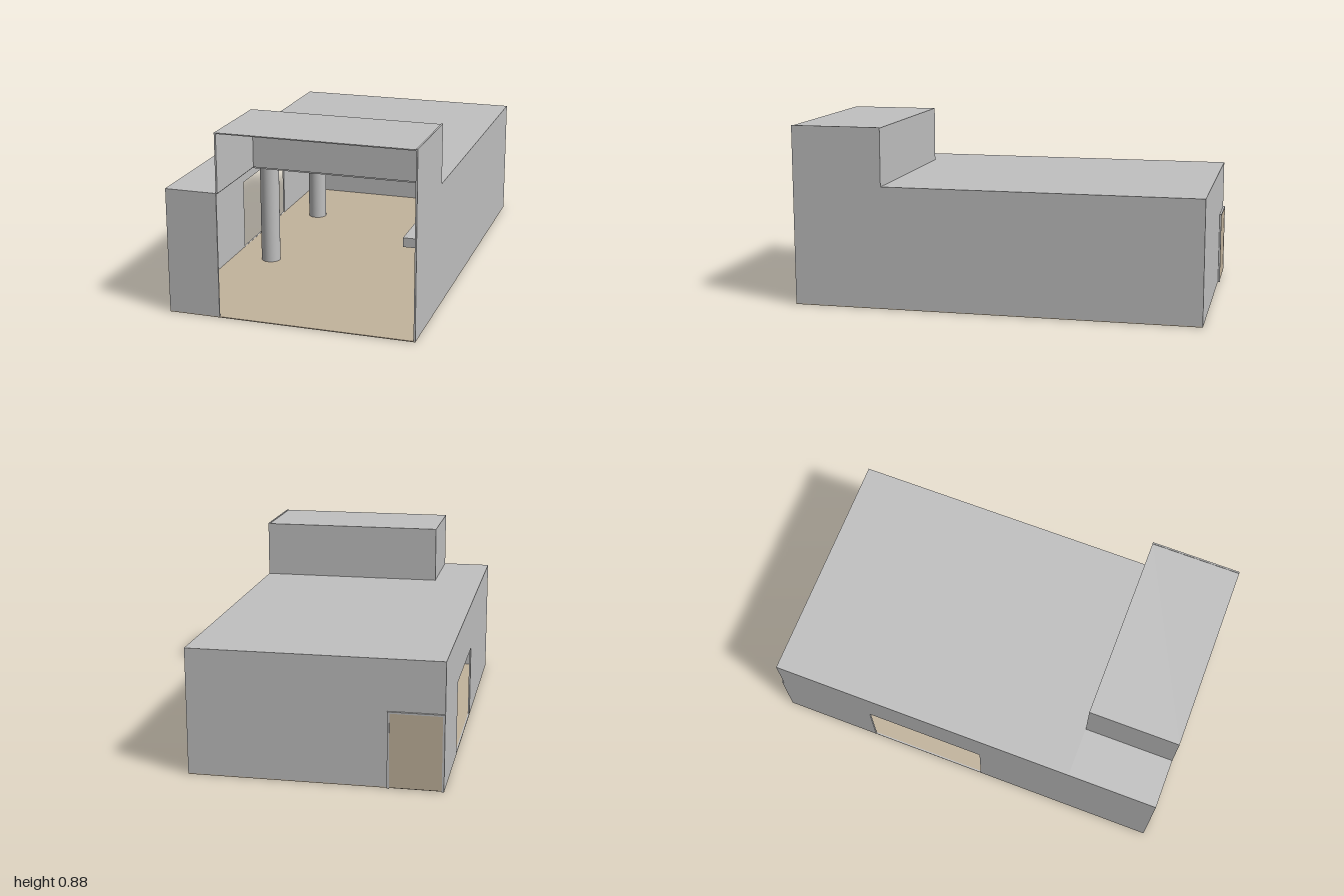
import * as THREE from 'three';

export function createModel() {
  const model = new THREE.Group();
  const plaster = new THREE.MeshStandardMaterial({ color: 0xc0c0c0 });
  plaster.name = 'grey plaster';
  const wood = new THREE.MeshStandardMaterial({ color: 0xc2b39c });
  wood.name = 'beige wood';

  const T = 0.008; // wall thickness
  const X = 0.59, BACK = -0.99, FRONT = 1; // outer shell
  const H = 0.6, TOP = 0.885; // main roof and raised roof heights
  const OPEN = -0.342, STEP = 0.555; // left edge and back of the raised bay

  const add = (name, geometry, material) => {
    const mesh = new THREE.Mesh(geometry, material);
    mesh.name = name;
    model.add(mesh);
    return mesh;
  };
  // box given by its minimum and maximum on each axis
  const box = (name, [x0, x1], [y0, y1], [z0, z1], material = plaster) => {
    const mesh = add(name, new THREE.BoxGeometry(x1 - x0, y1 - y0, z1 - z0), material);
    mesh.position.set((x0 + x1) / 2, (y0 + y1) / 2, (z0 + z1) / 2);
    return mesh;
  };
  const toPoints = (list) => list.map(([a, b]) => new THREE.Vector2(a, b));
  // wall in the z-y plane, with its lowest x at x0
  const sideWall = (name, x0, outline, hole) => {
    const shape = new THREE.Shape(toPoints(outline.map(([z, y]) => [-z, y])));
    if (hole) shape.holes.push(new THREE.Path(toPoints(hole.map(([z, y]) => [-z, y]))));
    const geometry = new THREE.ExtrudeGeometry(shape, { depth: T, bevelEnabled: false });
    geometry.rotateY(Math.PI / 2);
    add(name, geometry, plaster).position.x = x0;
  };

  // floor
  box('floor', [-X, X], [0, 0.004], [BACK, FRONT], wood);

  // side walls: one stepped up to the raised bay, one with a wide opening
  sideWall('leftWall', X - T, [
    [BACK, 0.004], [FRONT, 0.004], [FRONT, TOP], [STEP, TOP], [STEP, H], [BACK, H],
  ]);
  sideWall('rightWall', -X,
    [[BACK, 0.004], [FRONT, 0.004], [FRONT, H], [BACK, H]],
    [[-0.51, 0.004 + 0.001], [-0.51, 0.36], [0.09, 0.36], [0.09, 0.005]]);

  // end walls
  box('backWall', [-X + T, X - T], [0.004, H], [BACK, BACK + T]);
  box('frontWall', [-X + T, OPEN], [0.004, H], [FRONT - T, FRONT]);

  // main roof, leaving the raised bay open below
  box('mainRoof', [-X + T, X - T], [H - T, H], [BACK + T, STEP]);
  box('roofStrip', [-X + T, OPEN], [H - T, H], [STEP, FRONT - T]);

  // raised bay, open to the front
  box('bayBackWall', [OPEN, X - T], [H, TOP - T], [STEP, STEP + T]);
  box('baySideWall', [OPEN, OPEN + T], [H, TOP - T], [STEP + T, FRONT]);
  box('bayRoof', [OPEN, X - T], [TOP - T, TOP - 0.003], [STEP, FRONT]);

  // columns
  for (const z of [0.22, -0.52]) {
    const column = add('column', new THREE.CylinderGeometry(0.048, 0.048, H - T, 32), plaster);
    column.position.set(-0.385, (H - T) / 2 + 0.002, z);
  }

  // back door with a thin frame
  box('doorPanel', [-X + 0.01, -0.343], [0.004, 0.352], [-0.998, BACK], wood);
  for (const x of [-X, -0.343]) box('doorPost', [x, x + 0.01], [0, 0.36], [-1, BACK]);
  box('doorLintel', [-X + 0.01, -0.343], [0.352, 0.36], [-1, BACK]);

  // small box mounted on the inside of the wall
  box('wallUnit', [0.503, X - T], [0.405, 0.448], [0.7, 0.905]);

  return model;
}
